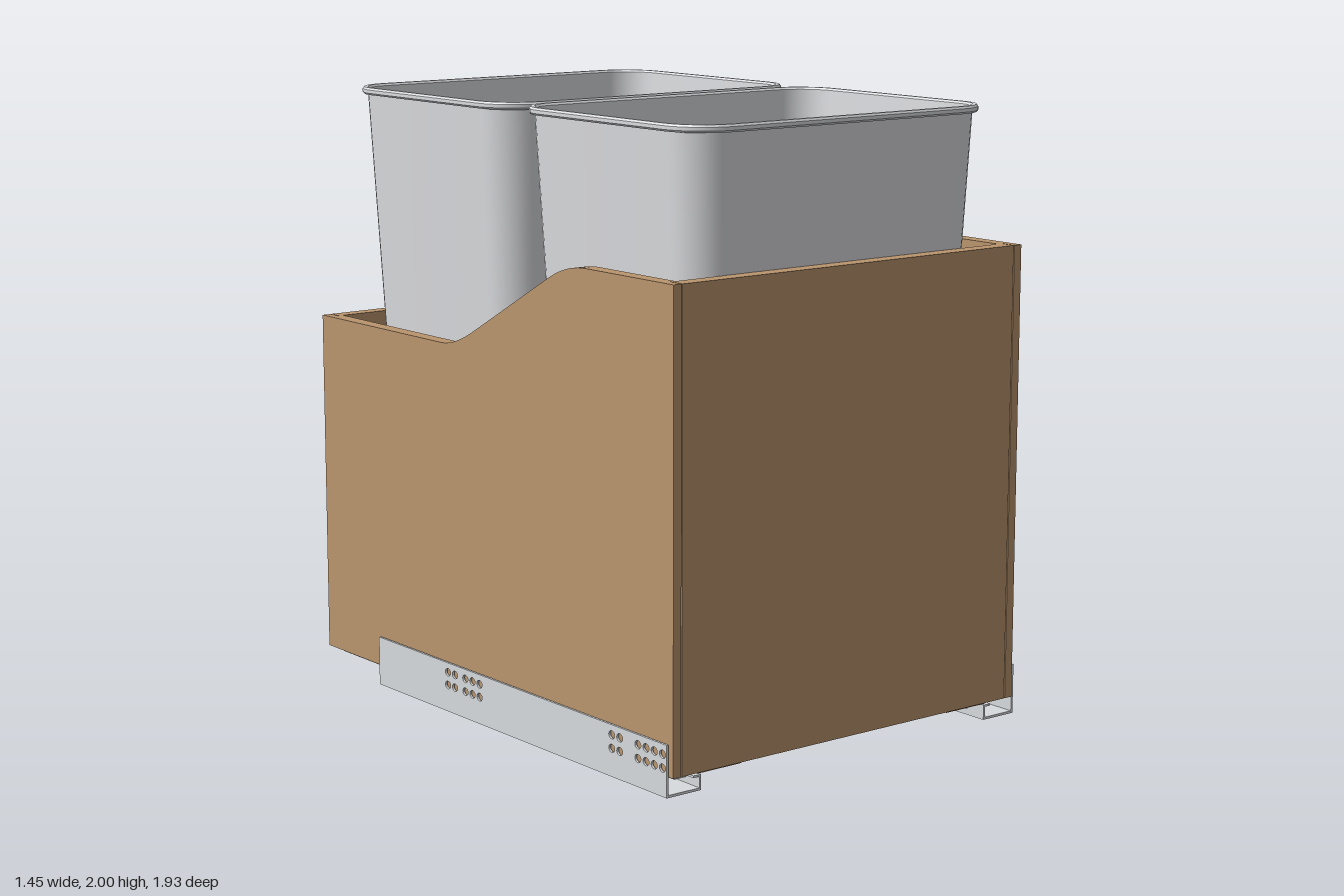
import * as THREE from 'three';
import { toCreasedNormals } from 'three/addons/utils/BufferGeometryUtils.js';

const wood = new THREE.MeshStandardMaterial({ color: 0xba956e });
wood.name = 'wood';
const plastic = new THREE.MeshStandardMaterial({ color: 0xdcdde0 });
plastic.name = 'grey plastic';
const steel = new THREE.MeshStandardMaterial({ color: 0xd8dbde });
steel.name = 'zinc steel';

function add(parent, name, geometry, material) {
  const mesh = new THREE.Mesh(geometry, material);
  mesh.name = name;
  parent.add(mesh);
  return mesh;
}

// Box given by its limits on each axis
function block(parent, name, material, [x0, x1], [y0, y1], [z0, z1]) {
  const g = new THREE.BoxGeometry(Math.abs(x1 - x0), y1 - y0, z1 - z0);
  g.translate((x0 + x1) / 2, (y0 + y1) / 2, (z0 + z1) / 2);
  return add(parent, name, g, material);
}

// Upright plate: shape drawn in (z, y), thickness running along x
function uprightPlate(parent, name, material, shape, xa, xb) {
  const g = new THREE.ExtrudeGeometry(shape, { depth: Math.abs(xb - xa), bevelEnabled: false, curveSegments: 10 });
  g.rotateY(-Math.PI / 2);
  g.translate(Math.max(xa, xb), 0, 0);
  return add(parent, name, g, material);
}

// Side panel outline with the sloping top edge
function sideShape(z0, z1) {
  const s = new THREE.Shape();
  s.moveTo(z0, 0.06);
  s.lineTo(z1, 0.06);
  s.lineTo(z1, 1.55);
  s.lineTo(0.54, 1.55);
  s.quadraticCurveTo(0.44, 1.55, 0.35, 1.5);
  s.lineTo(-0.05, 1.285);
  s.quadraticCurveTo(-0.165, 1.222, -0.24, 1.222);
  s.lineTo(z0, 1.222);
  return s;
}

// Points of a rounded rectangle, counter-clockwise
function roundedLoop(hx, hz, r, seg = 8) {
  const pts = [];
  for (let c = 0; c < 4; c++) {
    const sx = c === 0 || c === 3 ? 1 : -1, sz = c < 2 ? 1 : -1;
    for (let i = 0; i <= seg; i++) {
      const a = (c + i / seg) * Math.PI / 2;
      pts.push([sx * (hx - r) + r * Math.cos(a), sz * (hz - r) + r * Math.sin(a)]);
    }
  }
  return pts;
}

// Tapered bin: rounded-rectangle sections up the outside, over the rim, down the inside
function binGeometry() {
  const profile = [ // half width, half depth, corner radius, height
    [0, 0, 0, 0.16],
    [0.49, 0.357, 0.09, 0.16],
    [0.5, 0.367, 0.1, 0.172],
    [0.594, 0.441, 0.13, 1.976],
    [0.606, 0.457, 0.145, 1.976],
    [0.611, 0.462, 0.15, 1.982],
    [0.611, 0.462, 0.15, 1.993],
    [0.606, 0.457, 0.145, 2],
    [0.594, 0.441, 0.13, 2],
    [0.588, 0.435, 0.124, 1.993],
    [0.49, 0.357, 0.09, 0.175],
    [0, 0, 0, 0.175],
  ];
  const pos = [], idx = [];
  let n = 0;
  for (const [hx, hz, r, y] of profile) {
    const loop = roundedLoop(hx, hz, r);
    n = loop.length;
    for (const [x, z] of loop) pos.push(x, y, -z);
  }
  for (let k = 0; k < profile.length - 1; k++) {
    for (let i = 0; i < n; i++) {
      const j = (i + 1) % n, a = k * n + i, b = k * n + j;
      if (k > 0) idx.push(a, b, b + n);
      if (k === 0) idx.push(a, b, b + n, a, b + n, a + n);
      else idx.push(a, b + n, a + n);
    }
  }
  const g = new THREE.BufferGeometry();
  g.setAttribute('position', new THREE.Float32BufferAttribute(pos, 3));
  g.setIndex(idx);
  return toCreasedNormals(g, 0.6);
}

// Shelf with two cut-outs for the bins
function shelfGeometry() {
  const s = new THREE.Shape();
  s.moveTo(-0.66, -0.91);
  s.lineTo(0.66, -0.91);
  s.lineTo(0.66, 0.91);
  s.lineTo(-0.66, 0.91);
  for (const zc of [0.455, -0.505]) {
    const loop = roundedLoop(0.56, 0.4, 0.08);
    s.holes.push(new THREE.Path(loop.map(([x, z]) => new THREE.Vector2(x, z - zc))));
  }
  const g = new THREE.ExtrudeGeometry(s, { depth: 0.055, bevelEnabled: false });
  g.rotateX(-Math.PI / 2);
  g.translate(0, 0.945, 0);
  return g;
}

// Outer slide plate with its two rows of fixing holes
function slideShape() {
  const s = new THREE.Shape();
  s.moveTo(-0.612, 0);
  s.lineTo(0.955, 0);
  s.lineTo(0.955, 0.165);
  s.lineTo(-0.612, 0.165);
  for (const z of [0.935, 0.895, 0.855, 0.815, 0.725, 0.685, -0.02, -0.06, -0.1, -0.16, -0.2]) {
    for (const y of [0.09, 0.133]) {
      const h = new THREE.Path();
      h.absellipse(z, y, 0.015, 0.013, 0, Math.PI * 2, true);
      s.holes.push(h);
    }
  }
  return s;
}

function createSlide(s) {
  const g = new THREE.Group();
  g.name = s > 0 ? 'leftSlide' : 'rightSlide';
  const bar = (name, x0, x1, y, z, m = steel) => block(g, name, m, [s * x0, s * x1], y, z);
  // Fixed cabinet channel
  uprightPlate(g, 'slidePlate', steel, slideShape(), s * 0.715, s * 0.723);
  bar('slideFloor', 0.59, 0.716, [0, 0.008], [-0.612, 0.955]);
  bar('slideInnerWall', 0.59, 0.597, [0.008, 0.05], [-0.612, 0.955]);
  bar('slideInnerLip', 0.597, 0.62, [0.043, 0.05], [-0.612, 0.955]);
  // Moving runner below the box floor
  bar('runnerTop', 0.565, 0.65, [0.09, 0.1], [-0.955, 0.9]);
  bar('runnerWeb', 0.643, 0.65, [0.03, 0.09], [-0.955, 0.9]);
  bar('runnerFoot', 0.605, 0.643, [0.03, 0.038], [-0.955, 0.9]);
  bar('runnerInnerWall', 0.565, 0.572, [0.03, 0.09], [-0.955, 0.9]);
  // Rear hook
  bar('rearHookPlate', 0.55, 0.65, [0.04, 0.09], [-0.965, -0.955]);
  bar('rearHookTab', 0.585, 0.615, [0.09, 0.15], [-0.965, -0.956]);
  bar('rearHookFoot', 0.545, 0.57, [0.03, 0.05], [-0.965, -0.86]);
  // Front locking clip
  bar('clipBody', 0.45, 0.565, [0.06, 0.1], [0.74, 0.9]);
  bar('clipLever', 0.43, 0.6, [0.052, 0.06], [0.86, 0.95], wood);
  return g;
}

export function createModel() {
  const model = new THREE.Group();
  model.name = 'pulloutBinDrawer';

  // Wooden box with rabbeted corners
  const box = new THREE.Group();
  box.name = 'woodenBox';
  model.add(box);
  for (const s of [1, -1]) {
    uprightPlate(box, 'sidePanel', wood, sideShape(-0.957, 0.965), s * 0.676, s * 0.706);
    uprightPlate(box, 'sidePanelInnerLayer', wood, sideShape(-0.907, 0.91), s * 0.655, s * 0.676);
  }
  block(box, 'frontPanel', wood, [-0.672, 0.672], [0.06, 1.55], [0.91, 0.965]);
  block(box, 'backPanel', wood, [-0.672, 0.672], [0.06, 1.222], [-0.957, -0.907]);
  block(box, 'floorPanel', wood, [-0.656, 0.656], [0.105, 0.159], [-0.908, 0.911]);
  add(box, 'binShelf', shelfGeometry(), wood);

  // Two identical bins, one behind the other
  const bin = binGeometry();
  add(model, 'frontBin', bin, plastic).position.z = 0.483;
  add(model, 'backBin', bin, plastic).position.z = -0.472;

  // Undermount slides
  for (const s of [1, -1]) model.add(createSlide(s));
  return model;
}
